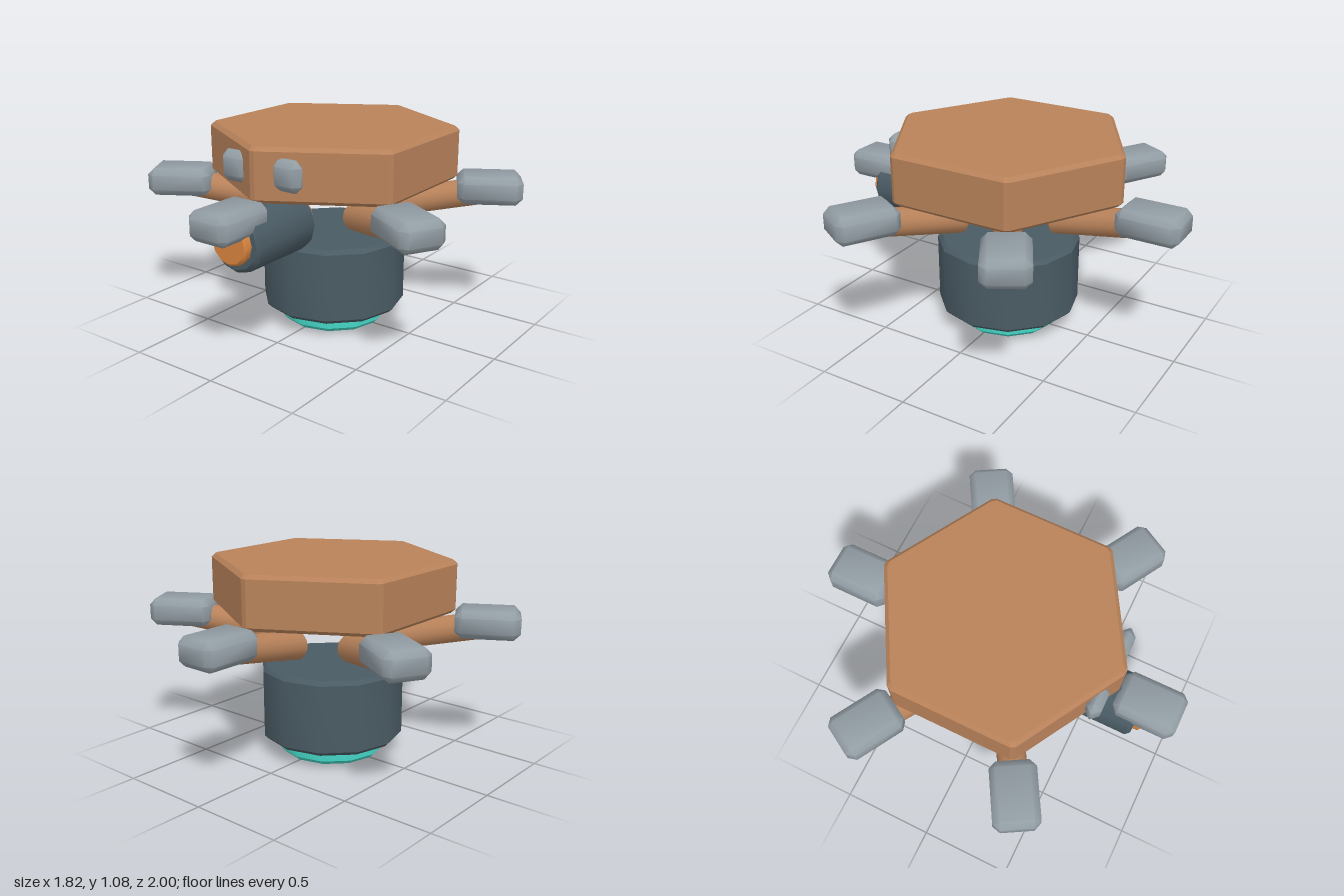
import * as THREE from 'three';
import { toCreasedNormals } from 'three/addons/utils/BufferGeometryUtils.js';
import { ConvexGeometry } from 'three/addons/geometries/ConvexGeometry.js';

const material = (name, color) => {
  const m = new THREE.MeshStandardMaterial({ color });
  m.name = name;
  return m;
};

// Cylinder along y, centred, with a chamfer on both rims
function chamferedCylinder(radius, height, chamfer, sides = 12) {
  const h = height / 2;
  const profile = [
    [0, -h], [radius - chamfer, -h], [radius, -h + chamfer],
    [radius, h - chamfer], [radius - chamfer, h], [0, h],
  ].map(([x, y]) => new THREE.Vector2(x, y));
  return toCreasedNormals(new THREE.LatheGeometry(profile, sides), 0.65);
}

// Box with every edge and corner cut at 45 degrees
function chamferedBox(width, height, depth, c) {
  const points = [];
  const half = [width / 2, height / 2, depth / 2];
  for (const sx of [-1, 1]) for (const sy of [-1, 1]) for (const sz of [-1, 1]) {
    for (let axis = 0; axis < 3; axis++) {
      const [x, y, z] = half.map((v, i) => (i === axis ? v : v - c));
      points.push(new THREE.Vector3(sx * x, sy * y, sz * z));
    }
  }
  return toCreasedNormals(new ConvexGeometry(points), 0.9);
}

// Hexagonal slab with a corner on +z and softly cut edges
function hexSlab(flat, bottom, top, chamfer) {
  const points = [];
  const delta = 0.021;
  const ring = (y, f) => {
    const r = f / Math.cos(Math.PI / 6 - delta);
    for (let i = 0; i < 6; i++) {
      for (const s of [-1, 1]) {
        const a = (i * Math.PI) / 3 + s * delta;
        points.push(new THREE.Vector3(r * Math.sin(a), y, r * Math.cos(a)));
      }
    }
  };
  ring(bottom, flat - chamfer);
  ring(bottom + chamfer, flat);
  ring(top - chamfer, flat);
  ring(top, flat - chamfer);
  return toCreasedNormals(new ConvexGeometry(points), 0.1);
}

export function createModel() {
  const model = new THREE.Group();
  model.name = 'hexapodRobot';

  const copper = material('copper', 0xb8825a);
  const orange = material('orange', 0xd9843f);
  const slate = material('slate', 0x4a5b64);
  const grey = material('grey', 0x929da4);
  const teal = material('teal', 0x44d4c4);

  const add = (parent, name, geometry, mat, x = 0, y = 0, z = 0) => {
    const mesh = new THREE.Mesh(geometry, mat);
    mesh.name = name;
    mesh.position.set(x, y, z);
    parent.add(mesh);
    return mesh;
  };

  // Hexagonal body
  add(model, 'body', hexSlab(0.578, 0.8, 1.08, 0.02), copper);

  // Two eye blocks either side of the front corner
  const eyeGeometry = chamferedBox(0.168, 0.16, 0.08, 0.035);
  add(model, 'leftEye', eyeGeometry, grey, 0.161, 0.95, 0.588);
  add(model, 'rightEye', eyeGeometry, grey, -0.161, 0.95, 0.588);

  // Six legs radiating from the centre, each ending in a block foot
  const inner = new THREE.Vector3(0, 0.645, 0.265);
  const outer = new THREE.Vector3(0, 0.76, 0.925);
  const along = outer.clone().sub(inner);
  const legGeometry = chamferedCylinder(0.075, along.length(), 0.02);
  const footGeometry = chamferedBox(0.24, 0.15, 0.34, 0.035);
  for (let i = 0; i < 6; i++) {
    const limb = new THREE.Group();
    limb.name = `limb${i + 1}`;
    limb.rotation.y = (i * Math.PI) / 3;
    const leg = add(limb, 'leg', legGeometry, copper);
    leg.position.copy(inner).add(outer).multiplyScalar(0.5);
    leg.quaternion.setFromUnitVectors(new THREE.Vector3(0, 1, 0), along.clone().normalize());
    add(limb, 'foot', footGeometry, grey, 0, 0.757, 0.83);
    model.add(limb);
  }

  // Forward barrel and its lens
  const barrel = add(model, 'barrel', chamferedCylinder(0.16, 0.44, 0.02), slate, 0, 0.645, 0.58);
  const lens = add(model, 'lens', chamferedCylinder(0.112, 0.09, 0.012), orange, 0, 0.645, 0.795);
  barrel.rotation.x = lens.rotation.x = Math.PI / 2;

  // Lower drum and glowing base disc
  add(model, 'drum', chamferedCylinder(0.39, 0.41, 0.022), slate, 0, 0.295, 0);
  add(model, 'baseDisc', chamferedCylinder(0.293, 0.1, 0.024), teal, 0, 0.05, 0);

  return model;
}
